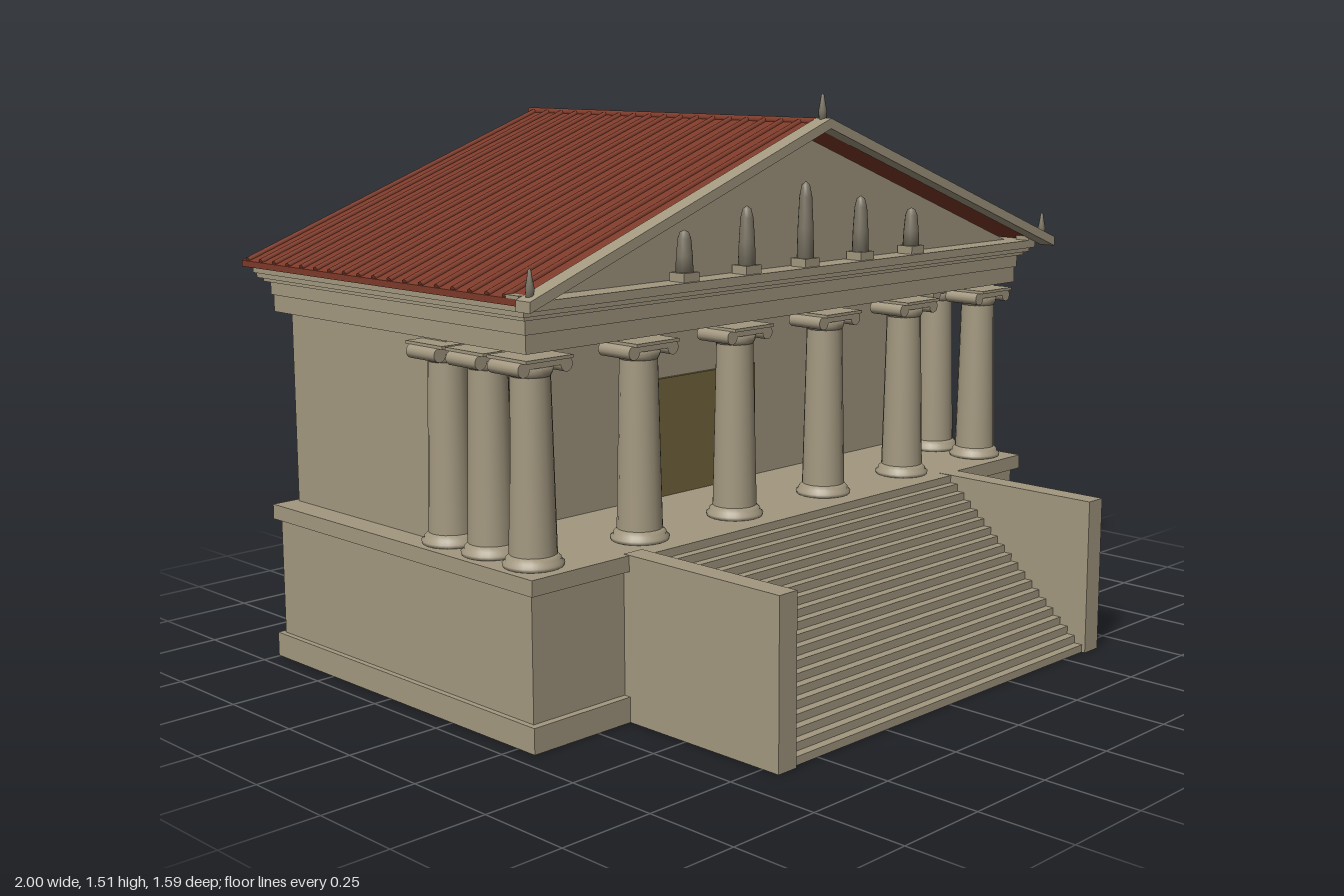
import * as THREE from 'three';

const stone = new THREE.MeshStandardMaterial({ color: 0xa39880 });
const tile = new THREE.MeshStandardMaterial({ color: 0x7d3a29 });
const wood = new THREE.MeshStandardMaterial({ color: 0x75663f });
const dark = new THREE.MeshStandardMaterial({ color: 0x7a7363 });

export function createModel() {
  const model = new THREE.Group();
  model.name = 'temple';

  const add = (name, geometry, material = stone, parent = model) => {
    const mesh = new THREE.Mesh(geometry, material);
    mesh.name = name;
    parent.add(mesh);
    return mesh;
  };
  const boxGeo = (x0, x1, y0, y1, z0, z1) =>
    new THREE.BoxGeometry(x1 - x0, y1 - y0, z1 - z0)
      .translate((x0 + x1) / 2, (y0 + y1) / 2, (z0 + z1) / 2);
  // box symmetric about x = 0
  const slab = (name, hx, y0, y1, z0, z1, material) =>
    add(name, boxGeo(-hx, hx, y0, y1, z0, z1), material);
  const shape = points => new THREE.Shape(points.map(p => new THREE.Vector2(...p)));
  const extrude = (points, depth) =>
    new THREE.ExtrudeGeometry(shape(points), { depth, bevelEnabled: false });
  const lathe = (points, sides) =>
    new THREE.LatheGeometry(points.map(p => new THREE.Vector2(...p)), sides);

  // Podium: the foot is a frame around a slightly raised underside
  const rect = (hx, z0, z1) => [[-hx, -z1], [hx, -z1], [hx, -z0], [-hx, -z0]];
  const foot = shape(rect(0.95, -0.755, 0.31));
  foot.holes.push(shape(rect(0.934, -0.739, 0.289)));
  add('podiumFoot', new THREE.ExtrudeGeometry(foot, { depth: 0.065, bevelEnabled: false })
    .rotateX(-Math.PI / 2));
  slab('podiumBody', 0.935, 0.04, 0.38, -0.74, 0.29);
  slab('podiumCornice', 0.95, 0.38, 0.42, -0.755, 0.31);

  // Staircase of solid steps between two cheek walls
  const steps = 20, rise = 0.42 / steps, run = 0.48 / steps;
  for (let i = 0; i < steps; i++) {
    slab('step', 0.585, 0, (i + 1) * rise, 0.79 - (i + 1) * run, 0.79 - i * run);
  }
  for (const s of [-1, 1]) {
    add('cheekWall', boxGeo(-0.03, 0.03, 0, 0.421, 0.291, 0.8)).position.x = s * 0.615;
  }

  // Inner hall and door
  slab('hall', 0.88, 0.42, 0.945, -0.738, -0.08);
  slab('door', 0.2, 0.42, 0.745, -0.08, -0.07, wood);

  // Columns with shallow flutes and scrolled capitals
  const shaft = new THREE.CylinderGeometry(0.048, 0.058, 0.43, 40, 1, true);
  const pos = shaft.attributes.position;
  for (let i = 0; i < pos.count; i++) {
    const x = pos.getX(i), z = pos.getZ(i);
    const flute = Math.round(Math.atan2(x, z) / (Math.PI / 20)) % 2 ? 0.98 : 1;
    pos.setX(i, x * flute);
    pos.setZ(i, z * flute);
  }
  const base = lathe([[0, 0], [0.073, 0], [0.075, 0.009], [0.067, 0.014], [0.067, 0.02], [0.057, 0.03], [0, 0.03]], 24);
  const neck = lathe([[0, 0], [0.048, 0], [0.053, 0.01], [0.055, 0.03], [0, 0.03]], 24);
  const scroll = new THREE.CylinderGeometry(0.018, 0.018, 0.11, 14).rotateX(Math.PI / 2);
  const column = (x, z) => {
    const g = new THREE.Group();
    g.name = 'column';
    g.position.set(x, 0.42, z);
    model.add(g);
    add('columnBase', base, stone, g);
    add('columnShaft', shaft, stone, g).position.y = 0.245;
    add('columnNeck', neck, stone, g).position.y = 0.455;
    for (const s of [-1, 1]) add('scroll', scroll, stone, g).position.set(s * 0.065, 0.48, 0);
    add('scrollBand', boxGeo(-0.065, 0.065, 0.48, 0.498, -0.055, 0.055), stone, g);
    add('abacus', boxGeo(-0.071, 0.071, 0.496, 0.504, -0.071, 0.071), stone, g);
  };
  for (const s of [-1, 1]) {
    for (const x of [0.175, 0.515, 0.86]) column(s * x, 0.21);
    for (const z of [0.055, -0.1]) column(s * 0.86, z);
  }

  // Entablature, stepping outward
  slab('architrave', 0.935, 0.94, 0.985, -0.735, 0.285);
  slab('frieze', 0.94, 0.985, 1.02, -0.74, 0.29);
  slab('cornice', 0.953, 1.02, 1.03, -0.753, 0.303);
  slab('cornice', 0.965, 1.03, 1.043, -0.765, 0.315);
  slab('cornice', 0.972, 1.043, 1.065, -0.77, 0.33);

  // Pediment: recessed front wall, raking cornice and the rear gable
  const gable = (hx, y0, y1) => [[-hx, y0], [hx, y0], [0, y1]];
  const chevron = (hx, eave, apex, t) =>
    [[-hx, eave - t], [0, apex - t], [hx, eave - t], [hx, eave], [0, apex], [-hx, eave]];
  add('frontGable', extrude(gable(0.93, 1.06, 1.409), 0.02).translate(0, 0, 0.24));
  add('rakingCornice', extrude(chevron(1, 1.075, 1.447, 0.026), 0.05).translate(0, 0, 0.33));
  add('rearGable', new THREE.ShapeGeometry(shape(gable(0.945, 1.066, 1.412)))
    .rotateY(Math.PI).translate(0, 0, -0.775));
  slab('rearSoffit', 0.97, 1.062, 1.068, -0.79, -0.76, tile);

  // Tiled roof: thin shell, ribs down each slope, ridge cap
  const eave = 1.075, apex = 1.437, halfWidth = 0.99;
  add('roof', extrude(chevron(halfWidth, eave, apex, 0.016), 1.123).translate(0, 0, -0.793), tile);
  const slope = Math.atan2(apex - eave, halfWidth);
  const rib = new THREE.CylinderGeometry(0.009, 0.009, Math.hypot(halfWidth, apex - eave) - 0.006, 8);
  for (const s of [-1, 1]) {
    for (let i = 0; i < 18; i++) {
      const r = add('roofRib', rib, tile);
      r.position.set(s * halfWidth / 2, (eave + apex) / 2, 0.277 - i * 0.0615);
      r.rotation.z = s * (Math.PI / 2 - slope);
    }
    add('cornerBlock', boxGeo(-0.025, 0.025, 1.06, 1.083, 0.285, 0.33)).position.x = s * 0.965;
  }
  add('ridgeCap', new THREE.CylinderGeometry(0.01, 0.01, 1.123, 10).rotateX(Math.PI / 2)
    .translate(0, 1.437, -0.2315), tile);

  // Pediment statues on small blocks
  const statue = lathe([[0, 0], [0.023, 0], [0.021, 0.4], [0.017, 0.8], [0.011, 0.95], [0, 1]], 12);
  for (const [x, h] of [[-0.44, 0.105], [-0.22, 0.15], [0, 0.2], [0.22, 0.15], [0.435, 0.105]]) {
    add('statueBlock', boxGeo(x - 0.027, x + 0.027, 1.065, 1.087, 0.27, 0.32));
    const m = add('statue', statue, dark);
    m.position.set(x, 1.085, 0.295);
    m.scale.y = h;
  }

  // Finials at the peak and both corners
  const finial = lathe([[0, 0], [0.009, 0], [0.011, 0.025], [0.007, 0.045], [0.004, 0.065], [0, 0.07]], 10);
  for (const [x, y] of [[0, 1.44], [-0.975, 1.076], [0.975, 1.076]]) {
    add('finial', finial, dark).position.set(x, y, 0.35);
  }
  return model;
}
